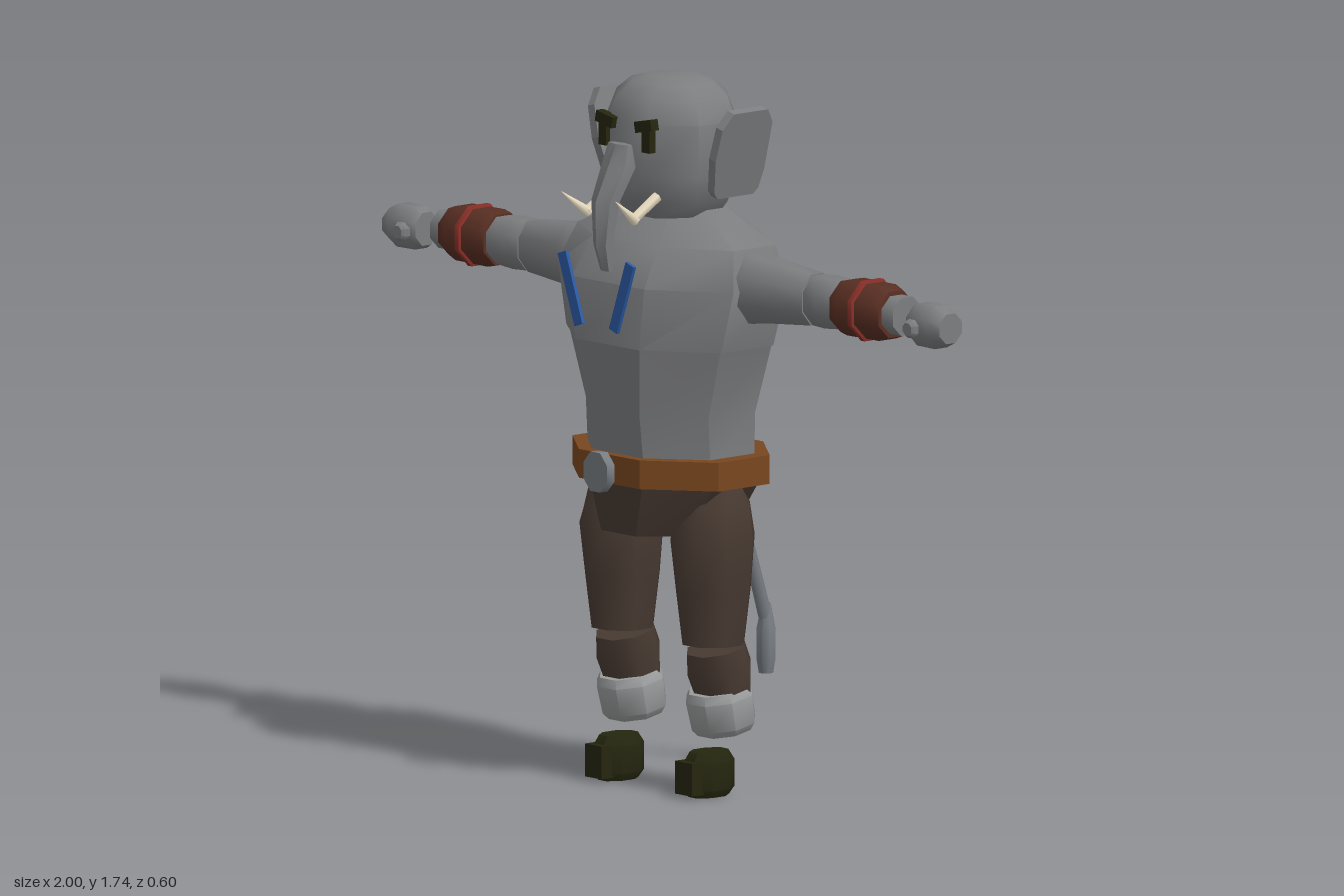
import * as THREE from 'three';
import { mergeVertices, toCreasedNormals } from 'three/addons/utils/BufferGeometryUtils.js';

const paint = (name, color) => {
  const m = new THREE.MeshStandardMaterial({ color });
  m.name = name;
  return m;
};

// Skin built from many-sided rings: [y, radiusX, radiusZ, centreX, centreZ], bottom to top.
function loft(rings, crease = 0.9, sides = 8) {
  const pos = [], idx = [], k = 1 / Math.cos(Math.PI / sides);
  for (const [y, rx, rz, cx = 0, cz = 0] of rings) {
    for (let i = 0; i < sides; i++) {
      const a = ((i + 0.5) / sides) * Math.PI * 2;
      pos.push(cx + rx * k * Math.cos(a), y, cz + rz * k * Math.sin(a));
    }
  }
  const last = (rings.length - 1) * sides;
  const low = pos.length / 3, high = low + 1;
  for (const r of [rings[0], rings[rings.length - 1]]) pos.push(r[3] || 0, r[0], r[4] || 0);
  for (let i = 0; i < sides; i++) {
    const n = (i + 1) % sides;
    for (let b = 0; b < last; b += sides) {
      const t = b + sides;
      idx.push(b + i, t + i, b + n, t + i, t + n, b + n);
    }
    idx.push(low, i, n, high, last + n, last + i);
  }
  const g = new THREE.BufferGeometry();
  g.setAttribute('position', new THREE.Float32BufferAttribute(pos, 3));
  g.setIndex(idx);
  return toCreasedNormals(mergeVertices(g), crease);
}

// Tapered rod between two points.
function rod(from, to, r0, r1, sides = 8) {
  const a = new THREE.Vector3(...from), d = new THREE.Vector3(...to).sub(a);
  const g = new THREE.CylinderGeometry(r1, r0, d.length(), sides);
  g.translate(0, d.length() / 2, 0);
  g.applyQuaternion(new THREE.Quaternion().setFromUnitVectors(new THREE.Vector3(0, 1, 0), d.normalize()));
  return g.translate(a.x, a.y, a.z);
}

export function createModel() {
  const model = new THREE.Group();
  model.name = 'elephantWarrior';
  const skin = paint('grey skin', 0x7d7e80);
  const fur = paint('pale cuff', 0x9a9b9c);
  const metal = paint('steel grey', 0x787d82);
  const leather = paint('belt leather', 0x78461f);
  const cloth = paint('trouser brown', 0x483a32);
  const bracer = paint('bracer brown', 0x592f23);
  const red = paint('red cord', 0x8a3029);
  const blue = paint('blue strap', 0x2b5ba6);
  const dark = paint('dark olive', 0x25260f);
  const ivory = paint('ivory', 0xe6dabf);

  const add = (name, geo, mat, x = 0, y = 0, z = 0, rx = 0, rz = 0) => {
    const m = new THREE.Mesh(geo, mat);
    m.name = name;
    m.position.set(x, y, z);
    m.rotation.set(rx, 0, rz);
    model.add(m);
    return m;
  };

  // Trunk of the body
  add('abdomen', loft([
    [0.8, 0.22, 0.17, 0, 0.03], [0.93, 0.22, 0.182, 0, 0.032], [1.1, 0.272, 0.2, 0, 0.033],
  ], 0.6), skin);
  add('chest', loft([
    [1.1, 0.278, 0.203, 0, 0.034], [1.25, 0.315, 0.21, 0, 0.025],
    [1.345, 0.28, 0.165, 0, 0.012], [1.42, 0.13, 0.08, 0, 0],
  ], 0.6), skin);
  add('belt', loft([[0.76, 0.262, 0.2, 0, 0.03], [0.83, 0.262, 0.2, 0, 0.03]], 0.5), leather);
  add('buckle', loft([[-0.0125, 0.042, 0.048], [0.0125, 0.042, 0.048]], 0.9), metal, 0, 0.793, 0.263, Math.PI / 2);
  add('hips', loft([[0.635, 0.15, 0.165, 0, 0.035], [0.77, 0.235, 0.182, 0, 0.028]], 0.6), cloth);

  // Head and nose
  add('head', loft([
    [1.4, 0.115, 0.1, 0, 0.025], [1.44, 0.145, 0.125, 0, 0.028], [1.51, 0.163, 0.142, 0, 0.028],
    [1.635, 0.163, 0.142, 0, 0.028], [1.69, 0.143, 0.122, 0, 0.026], [1.722, 0.105, 0.09, 0, 0.026],
    [1.735, 0.062, 0.055, 0, 0.026],
  ]), skin);
  add('noseTrunk', loft([
    [1.28, 0.015, 0.008, 0, 0.24], [1.345, 0.022, 0.02, 0, 0.25], [1.45, 0.033, 0.028, 0, 0.242],
    [1.53, 0.042, 0.03, 0, 0.2], [1.585, 0.035, 0.012, 0, 0.195],
  ], 0.5, 6), skin);

  // Tail
  add('tail', rod([0, 0.37, -0.277], [0, 0.77, -0.155], 0.017, 0.013), metal);
  add('tailTuft', loft([
    [0.24, 0.017, 0.017], [0.275, 0.024, 0.022], [0.345, 0.024, 0.022], [0.41, 0.011, 0.011],
  ]), metal, 0, 0, -0.277);

  for (const s of [1, -1]) {
    const side = s > 0 ? 'left' : 'right';
    // Parts running outward along the arm
    const arm = (name, rings, mat, crease) =>
      add(side + name, loft(rings, crease), mat, 0, 1.25, 0.015, 0, -s * Math.PI / 2);

    arm('UpperArm', [
      [0.26, 0.085, 0.07], [0.31, 0.082, 0.078], [0.36, 0.075, 0.064], [0.508, 0.062, 0.05],
    ], skin);
    arm('Forearm', [[0.513, 0.06, 0.05], [0.56, 0.062, 0.056], [0.64, 0.055, 0.054]], skin);
    arm('Bracer', [
      [0.62, 0.062, 0.062], [0.645, 0.067, 0.067], [0.76, 0.066, 0.066], [0.79, 0.056, 0.056],
    ], bracer);
    arm('BracerCord', [
      [0.695, 0.064, 0.064], [0.698, 0.073, 0.073], [0.712, 0.073, 0.073], [0.715, 0.064, 0.064],
    ], red, 0.9);
    arm('Wrist', [[0.76, 0.046, 0.046], [0.83, 0.046, 0.046]], skin);
    add(side + 'Hand', loft([
      [0.88, 0.04, 0.036], [0.9, 0.051, 0.046], [0.965, 0.052, 0.048], [1.0, 0.036, 0.036],
    ]), skin, 0, 1.243, 0.027, 0, -s * Math.PI / 2);
    add(side + 'Thumb', loft([
      [0.05, 0.022, 0.022], [0.082, 0.022, 0.022], [0.092, 0.015, 0.015],
    ]), skin, s * 0.915, 1.238, 0, Math.PI / 2);

    // Ear: a thin cut-corner plate leaning outward
    const ear = new THREE.Shape([
      [-0.06, -0.11], [0.055, -0.11], [0.068, -0.095], [0.083, -0.01], [0.078, 0.07],
      [0.05, 0.11], [-0.06, 0.11], [-0.082, 0.075], [-0.082, -0.05], [-0.073, -0.095],
    ].map(([x, y]) => new THREE.Vector2(x, y)));
    const earGeo = new THREE.ExtrudeGeometry(ear, { depth: 0.024, bevelEnabled: false });
    earGeo.translate(0, 0, -0.012).rotateY(-Math.PI / 2);
    add(side + 'Ear', earGeo, skin, s * 0.213, 1.568, 0.003, 0, -s * 0.25);

    // Face
    add(side + 'Eye', new THREE.BoxGeometry(0.027, 0.06, 0.02), dark, s * 0.078, 1.6, 0.173);
    add(side + 'Brow', new THREE.BoxGeometry(0.06, 0.027, 0.024), dark, s * 0.07, 1.634, 0.173, 0, s * 0.2);
    add(side + 'TuskRoot', rod([s * 0.082, 1.46, 0.15], [s * 0.083, 1.413, 0.228], 0.014, 0.013, 6), ivory);
    add(side + 'TuskTip', rod([s * 0.083, 1.41, 0.222], [s * 0.097, 1.467, 0.297], 0.014, 0.001, 6), ivory);

    // Chest strap
    add(side + 'Strap', new THREE.BoxGeometry(0.03, 0.18, 0.009), blue, s * 0.092, 1.229, 0.27, 0, -s * 0.34);

    // Legs and feet
    add(side + 'Thigh', loft([
      [0.37, 0.072, 0.073, 0, 0.04], [0.5, 0.087, 0.088, 0, 0.04], [0.63, 0.098, 0.1, 0, 0.043],
      [0.71, 0.088, 0.08, 0, 0.035], [0.775, 0.06, 0.045, 0, 0.03],
    ]), cloth, s * 0.163);
    add(side + 'Shin', loft([
      [-0.075, 0.068, 0.062], [0, 0.074, 0.076], [0.05, 0.07, 0.068],
    ]), cloth, s * 0.163, 0.31, 0.022, 0.22);
    add(side + 'Cuff', loft([
      [-0.052, 0.066, 0.062], [-0.035, 0.078, 0.074], [0.035, 0.082, 0.078], [0.055, 0.07, 0.068],
    ]), fur, s * 0.16, 0.205, 0.012, 0.2);
    add(side + 'Boot', loft([
      [0, 0.035, 0.052], [0.018, 0.044, 0.066], [0.085, 0.044, 0.066], [0.11, 0.034, 0.05],
    ], 0.6), dark, s * 0.162, 0, 0.054);
    add(side + 'Toe', new THREE.BoxGeometry(0.06, 0.08, 0.04), dark, s * 0.162, 0.05, 0.116);
  }
  return model;
}
